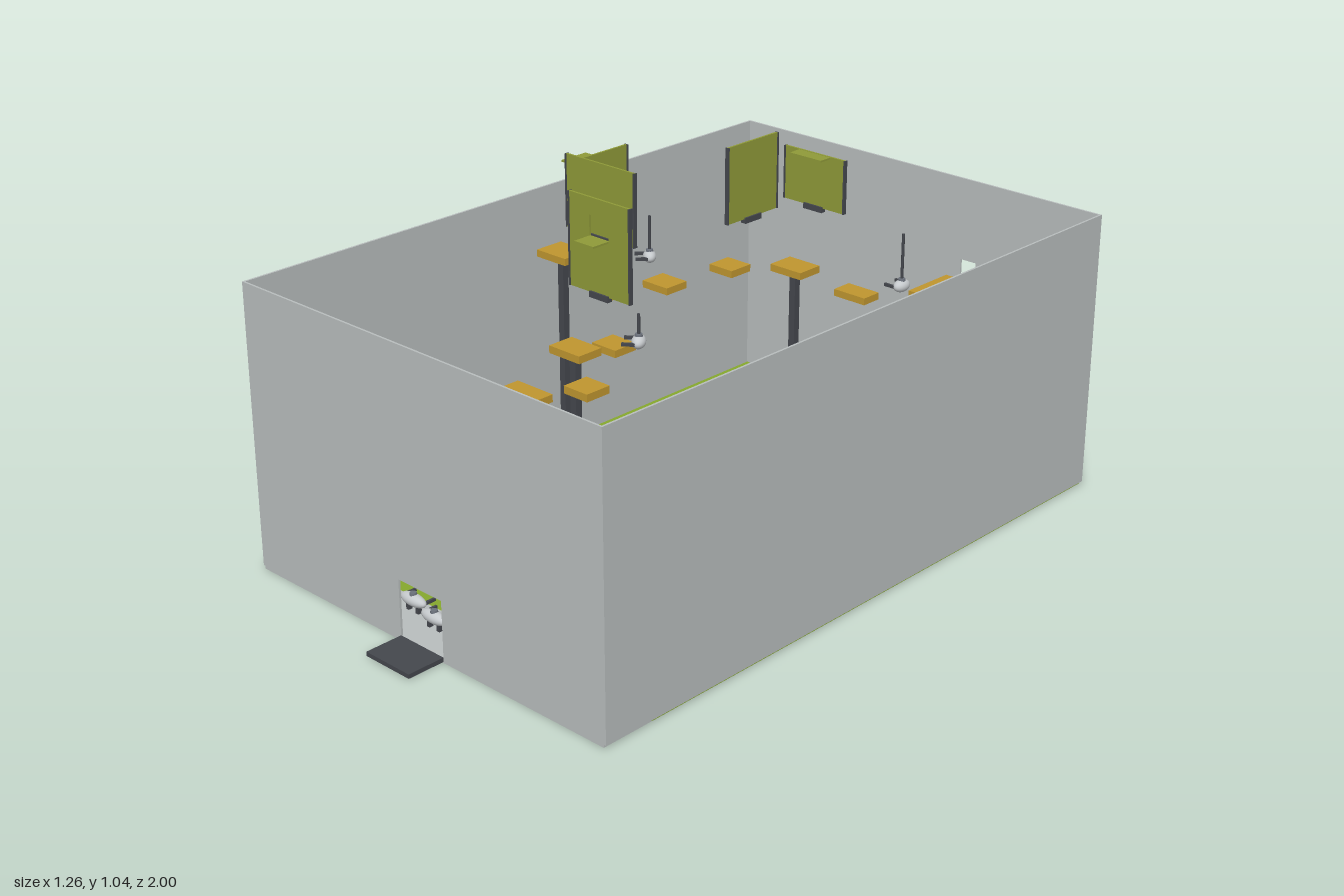
import * as THREE from 'three';

const mat = (name, color, extra = {}) =>
  new THREE.MeshStandardMaterial({ name, color, ...extra });

export function createModel() {
  const M = {
    wall: mat('wallGrey', 0xb8bdbd),
    floor: mat('floorGreen', 0x86a82e),
    olive: mat('panelOlive', 0x8f9a38),
    pad: mat('padOchre', 0xbf962f),
    slate: mat('slate', 0x6b717b),
    dark: mat('charcoal', 0x44474d),
    pale: mat('dronePale', 0xc6cacd),
  };
  const root = new THREE.Group();
  root.name = 'arenaRoom';

  const add = (parent, name, geo, material, x = 0, y = 0, z = 0) => {
    const m = new THREE.Mesh(geo, material);
    m.name = name;
    m.position.set(x, y, z);
    parent.add(m);
    return m;
  };
  // Box from its minimum and maximum corners
  const box = (parent, name, material, x0, x1, y0, y1, z0, z1) =>
    add(parent, name, new THREE.BoxGeometry(x1 - x0, y1 - y0, z1 - z0), material,
      (x0 + x1) / 2, (y0 + y1) / 2, (z0 + z1) / 2);
  // Upright plate with rectangular openings [x0, x1, y0, y1]
  const plate = (parent, name, material, [x0, x1, y0, y1], z, depth, holes) => {
    const rect = (P, a, b, c, d) =>
      new P([[a, c], [b, c], [b, d], [a, d]].map((p) => new THREE.Vector2(...p)));
    const s = rect(THREE.Shape, x0, x1, y0, y1);
    holes.forEach((h) => s.holes.push(rect(THREE.Path, ...h)));
    const g = new THREE.ExtrudeGeometry(s, { depth, bevelEnabled: false });
    return add(parent, name, g, material, 0, 0, z);
  };

  // Floor, entrance strip and ramp plate
  box(root, 'greenFloor', M.floor, -0.625, 0.625, 0, 0.01, -0.997, 0.735);
  box(root, 'entranceFloor', M.wall, -0.625, 0.625, 0, 0.01, 0.735, 0.89);
  box(root, 'entranceRamp', M.dark, -0.08, 0.077, 0.003, 0.015, 0.89, 1);
  box(root, 'doorLintel', M.olive, -0.083, 0.08, 0.17, 0.178, 0.874, 0.884);

  // Walls, with an entrance at the front, an exit and a small window at the back
  const T = 0.006;
  for (const s of [-1, 1])
    add(root, 'sideWall', new THREE.BoxGeometry(T, 0.792, 1.89), M.wall, s * 0.629, 0.404, -0.055);
  plate(root, 'frontWall', M.wall, [-0.626, 0.626, 0.008, 0.8], 0.884, T,
    [[-0.08, 0.077, 0.012, 0.17]]);
  plate(root, 'backWall', M.wall, [-0.626, 0.626, 0.008, 0.8], -1, T,
    [[-0.056, 0.05, 0.012, 0.135], [0.18, 0.232, 0.5, 0.56]]);

  // Floor cover blocks: x0, x1, z0, z1, height
  const blocks = [
    [M.slate, -0.33, -0.197, -0.805, -0.73, 0.09],
    [M.slate, -0.412, -0.272, -0.513, -0.435, 0.09],
    [M.slate, 0.328, 0.457, -0.227, -0.15, 0.09],
    [M.slate, 0.203, 0.32, 0.092, 0.168, 0.09],
    [M.slate, -0.105, 0.103, -0.83, -0.804, 0.128],
    [M.dark, 0.175, 0.294, -0.672, -0.597, 0.09],
    [M.dark, 0.064, 0.194, -0.385, -0.305, 0.09],
    [M.dark, -0.26, -0.113, -0.072, 0.012, 0.09],
  ];
  for (const [m, x0, x1, z0, z1, h] of blocks)
    box(root, 'coverBlock', m, x0, x1, 0.01, h, z0, z1);

  // Raised stepping pads: x0, x1, z0, z1, top, has a post
  const pads = [
    [0.132, 0.288, -0.994, -0.82, 0.5],
    [0.17, 0.247, -0.79, -0.715, 0.505],
    [0.038, 0.145, -0.668, -0.605, 0.54],
    [-0.028, 0.078, -0.49, -0.41, 0.65, true],
    [-0.148, -0.066, -0.37, -0.295, 0.65],
    [-0.284, -0.193, -0.253, -0.175, 0.6],
    [-0.47, -0.362, -0.047, 0.042, 0.7, true],
    [-0.302, -0.224, -0.04, 0.036, 0.7],
    [-0.17, -0.092, 0.064, 0.141, 0.7],
    [-0.042, 0.04, 0.183, 0.257, 0.615],
    [0.026, 0.13, 0.394, 0.47, 0.69, true],
    [0.196, 0.274, 0.51, 0.585, 0.67],
    [0.069, 0.189, 0.615, 0.69, 0.655],
  ];
  for (const [x0, x1, z0, z1, top, post] of pads) {
    box(root, 'steppingPad', M.pad, x0, x1, top - 0.02, top, z0, z1);
    if (post) {
      const x = (x0 + x1) / 2, z = (z0 + z1) / 2;
      box(root, 'padPost', M.dark, x - 0.01, x + 0.01, 0.01, top - 0.02, z - 0.01, z + 0.01);
    }
  }

  // Hovering panels with dark end strips, a foot box and an optional ledge
  const panel = ({ x, z, w, top, turn = 0, hole, ledge }) => {
    const g = new THREE.Group();
    g.name = 'hoverPanel';
    g.position.set(x, 0, z);
    g.rotation.y = turn;
    root.add(g);
    plate(g, 'panelSheet', M.olive, [-w / 2, w / 2, 0.8, top], -0.003, 0.006, hole ? [hole] : []);
    for (const s of [-1, 1])
      add(g, 'panelEdge', new THREE.BoxGeometry(0.004, top - 0.8, 0.012), M.dark,
        s * w / 2, (top + 0.8) / 2, 0);
    box(g, 'panelFoot', M.dark, -0.032, 0.032, 0.788, 0.804, -0.008, 0.008);
    if (ledge) {
      const [a, b, y, depth] = ledge;
      box(g, 'panelLedge', M.olive, a, b, y - 0.005, y, 0, depth);
    }
  };
  const quarter = Math.PI / 2;
  panel({ x: 0.024, z: -0.526, w: 0.208, top: 0.95, ledge: [-0.054, 0.054, 0.949, 0.042] });
  panel({ x: -0.042, z: -0.345, w: 0.196, top: 1.013, turn: quarter });
  panel({ x: -0.338, z: -0.064, w: 0.212, top: 0.977, turn: -quarter,
    ledge: [0.018, 0.106, 0.976, 0.029] });
  panel({ x: -0.217, z: 0.048, w: 0.248, top: 1.002 });
  panel({ x: 0.077, z: 0.342, w: 0.206, top: 1.045,
    hole: [-0.033, 0.032, 0.945, 1.0], ledge: [-0.033, 0.032, 0.946, 0.055] });

  // Drones: oval body facing -z with two arms; hung on a rod or standing on feet
  const drone = (x, y, z, width, turn, hung) => {
    const g = new THREE.Group();
    g.name = hung ? 'hangingDrone' : 'standingDrone';
    g.position.set(x, y, z);
    g.rotation.y = turn;
    root.add(g);
    const body = add(g, 'droneBody', new THREE.SphereGeometry(0.5, 20, 14), M.pale);
    body.scale.set(width, 0.034, 0.036);
    add(g, 'droneCap', new THREE.CylinderGeometry(0.009, 0.011, 0.01, 14), M.slate, 0, 0.016, 0);
    for (const s of [-1, 1]) {
      add(g, 'droneArm', new THREE.BoxGeometry(0.007, 0.008, 0.042), M.dark,
        s * width * 0.4, 0, -0.018);
      if (!hung)
        add(g, 'droneFoot', new THREE.BoxGeometry(0.01, y - 0.01, 0.012), M.dark,
          s * 0.018, (0.01 - y) / 2, 0);
    }
    if (hung)
      add(g, 'droneRod', new THREE.CylinderGeometry(0.004, 0.004, 0.8 - y, 10), M.dark,
        0, (0.8 - y) / 2, 0);
  };
  drone(0.34, 0.655, -0.515, 0.056, quarter, true);
  drone(-0.243, 0.685, -0.16, 0.056, 2.4, true);
  drone(0.232, 0.728, 0.368, 0.056, 2.2, true);
  for (const s of [-1, 1]) {
    drone(s * 0.158, 0.042, 0.782, 0.092, 0, false);
    drone(s * 0.052, 0.042, 0.805, 0.092, 0, false);
  }
  return root;
}
